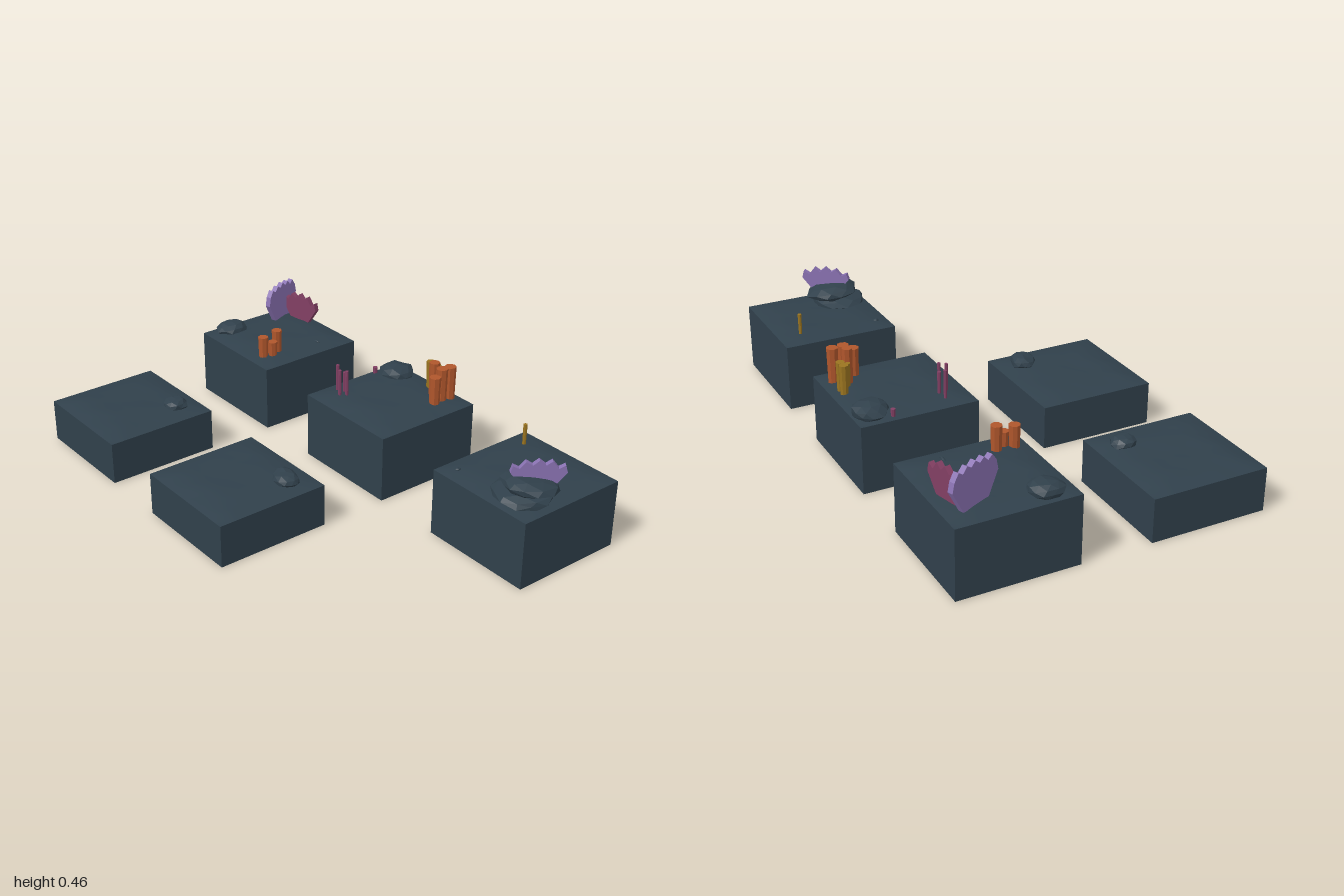
import * as THREE from 'three';

const mat = (name, color, side = THREE.FrontSide) => {
  const m = new THREE.MeshStandardMaterial({ color, side });
  m.name = name;
  return m;
};

export function createModel() {
  const root = new THREE.Group();
  const slate = mat('slate', 0x30404b, THREE.DoubleSide);
  const lavender = mat('lavender', 0x8a72b2);
  const magenta = mat('magenta', 0x823f63);
  const orange = mat('orange', 0xb0562c);
  const gold = mat('gold', 0x9a7420);
  const S = 0.475;

  const add = (parent, name, geo, material, x = 0, y = 0, z = 0) => {
    const m = new THREE.Mesh(geo, material);
    m.name = name;
    m.position.set(x, y, z);
    parent.add(m);
    return m;
  };
  const noise = (x, y, z) => {
    const s = Math.sin(x * 127.1 + y * 311.7 + z * 74.7) * 43758.5453;
    return s - Math.floor(s);
  };
  // Convert to separate faces for a faceted look
  const faceted = (geo) => {
    const g = geo.index ? geo.toNonIndexed() : geo;
    g.computeVertexNormals();
    return g;
  };

  // Hollow block: four walls, a raised uneven top and an inner ceiling
  function block(name, x, z, h) {
    const g = new THREE.Group();
    g.name = name;
    g.position.set(x, 0, z);
    for (let i = 0; i < 4; i++) {
      const a = i * Math.PI / 2;
      const wall = add(g, 'wall', new THREE.PlaneGeometry(S, h), slate,
        Math.sin(a) * S / 2, h / 2, Math.cos(a) * S / 2);
      wall.rotation.y = a;
    }
    const top = new THREE.PlaneGeometry(S, S, 10, 10).rotateX(-Math.PI / 2);
    const p = top.attributes.position;
    for (let i = 0; i < p.count; i++) {
      const px = p.getX(i), pz = p.getZ(i);
      const edge = S / 2 - Math.max(Math.abs(px), Math.abs(pz));
      const rise = Math.min(1, Math.max(0, edge) / 0.07);
      p.setY(i, rise * (0.014 + 0.007 * noise(Math.round(px * 50), x, Math.round(pz * 50))));
    }
    top.computeVertexNormals();
    add(g, 'groundTop', top, slate, 0, h, 0);
    add(g, 'innerCeiling', new THREE.PlaneGeometry(S, S).rotateX(Math.PI / 2), slate, 0, 0.174, 0);
    root.add(g);
  }
  block('tallBlockRight', -0.7625, -0.3825, 0.275);
  block('tallBlockMiddle', -0.0025, -0.3825, 0.275);
  block('tallBlockLeft', 0.7625, -0.3825, 0.275);
  block('lowBlockRight', -0.7625, 0.3775, 0.175);
  block('lowBlockMiddle', -0.0025, 0.3775, 0.175);

  // Faceted boulders: centre, radii, tilt
  function rock(name, x, y, z, rx, ry, rz, turn = 0, tilt = 0) {
    const geo = new THREE.IcosahedronGeometry(1, 1);
    const p = geo.attributes.position;
    for (let i = 0; i < p.count; i++) {
      const v = new THREE.Vector3().fromBufferAttribute(p, i);
      const k = 0.86 + 0.2 * noise(Math.round(v.x * 20), Math.round(v.y * 20) + x, Math.round(v.z * 20) + z);
      v.multiplyScalar(k);
      p.setXYZ(i, v.x * rx, v.y * ry, v.z * rz);
    }
    const m = add(root, name, faceted(geo), slate, x, y, z);
    m.rotation.set(tilt, turn, 0);
  }
  rock('boulder', -0.932, 0.293, -0.252, 0.064, 0.034, 0.071);
  rock('boulder', -0.152, 0.293, -0.55, 0.081, 0.036, 0.074, -0.2);
  rock('boulder', -0.633, 0.195, 0.245, 0.052, 0.028, 0.056);
  rock('boulder', 0.133, 0.197, 0.245, 0.068, 0.03, 0.05, -0.3);
  rock('lowerSlab', 0.868, 0.298, -0.265, 0.122, 0.032, 0.118);
  rock('upperSlab', 0.885, 0.335, -0.28, 0.11, 0.036, 0.116, 0, -0.13);
  rock('pebble', -0.6, 0.291, -0.468, 0.022, 0.006, 0.006);
  rock('pebble', 0.592, 0.287, -0.203, 0.012, 0.008, 0.012);

  // Fan coral: flat plate that widens upwards to a jagged crest
  function fan(name, material, x0, z0, x1, z1, y, h, crest) {
    const w = Math.hypot(x1 - x0, z1 - z0);
    const s = new THREE.Shape();
    s.moveTo(-w * 0.26, 0);
    s.lineTo(w * 0.26, 0);
    s.lineTo(w * 0.5, h * 0.55);
    crest.forEach((c, i) => s.lineTo(w * (0.46 - 0.92 * i / (crest.length - 1)), h * c));
    s.lineTo(-w * 0.5, h * 0.55);
    s.closePath();
    const geo = new THREE.ExtrudeGeometry(s, { depth: 0.022, bevelEnabled: false });
    geo.translate(0, 0, -0.011);
    const m = add(root, name, geo, material, (x0 + x1) / 2, y, (z0 + z1) / 2);
    m.rotation.y = -Math.atan2(z1 - z0, x1 - x0);
  }
  const crestA = [0.78, 0.94, 0.86, 0.98, 0.9, 1, 0.9, 0.97, 0.85, 0.93, 0.76];
  const crestB = [0.82, 0.7, 0.97, 0.82, 1, 0.82, 0.95, 0.7, 0.8];
  fan('fanCoral', lavender, -0.95, -0.61, -0.87, -0.405, 0.285, 0.17, crestA);
  fan('fanCoral', magenta, -0.93, -0.545, -0.742, -0.582, 0.285, 0.125, crestB);
  fan('fanCoral', lavender, 0.838, -0.218, 0.962, -0.38, 0.325, 0.11, crestB);

  // Tube corals: x, z, radius, top height
  function tubes(name, material, list, flare = 0.88) {
    for (const [x, z, r, top] of list) {
      const h = top - 0.28;
      const geo = faceted(new THREE.CylinderGeometry(r, r * flare, h, 8));
      add(root, name, geo, material, x, 0.28 + h / 2, z);
    }
  }
  tubes('tubeCoral', orange, [
    [-0.627, -0.275, 0.022, 0.388], [-0.611, -0.24, 0.021, 0.35], [-0.629, -0.205, 0.022, 0.375],
    [0.145, -0.57, 0.024, 0.425], [0.095, -0.53, 0.022, 0.436],
    [0.143, -0.527, 0.024, 0.428], [0.15, -0.485, 0.024, 0.405]]);
  tubes('tubeCoral', gold, [
    [0.027, -0.573, 0.018, 0.402], [0.063, -0.572, 0.018, 0.4], [0.075, -0.545, 0.018, 0.385]]);

  // Slender stalks
  tubes('stalk', magenta, [
    [-0.182, -0.255, 0.007, 0.4], [-0.145, -0.262, 0.008, 0.38],
    [-0.135, -0.228, 0.007, 0.402], [-0.115, -0.248, 0.007, 0.4], [-0.215, -0.482, 0.01, 0.31]]);
  tubes('stalk', gold, [[0.608, -0.53, 0.008, 0.374]]);

  return root;
}
